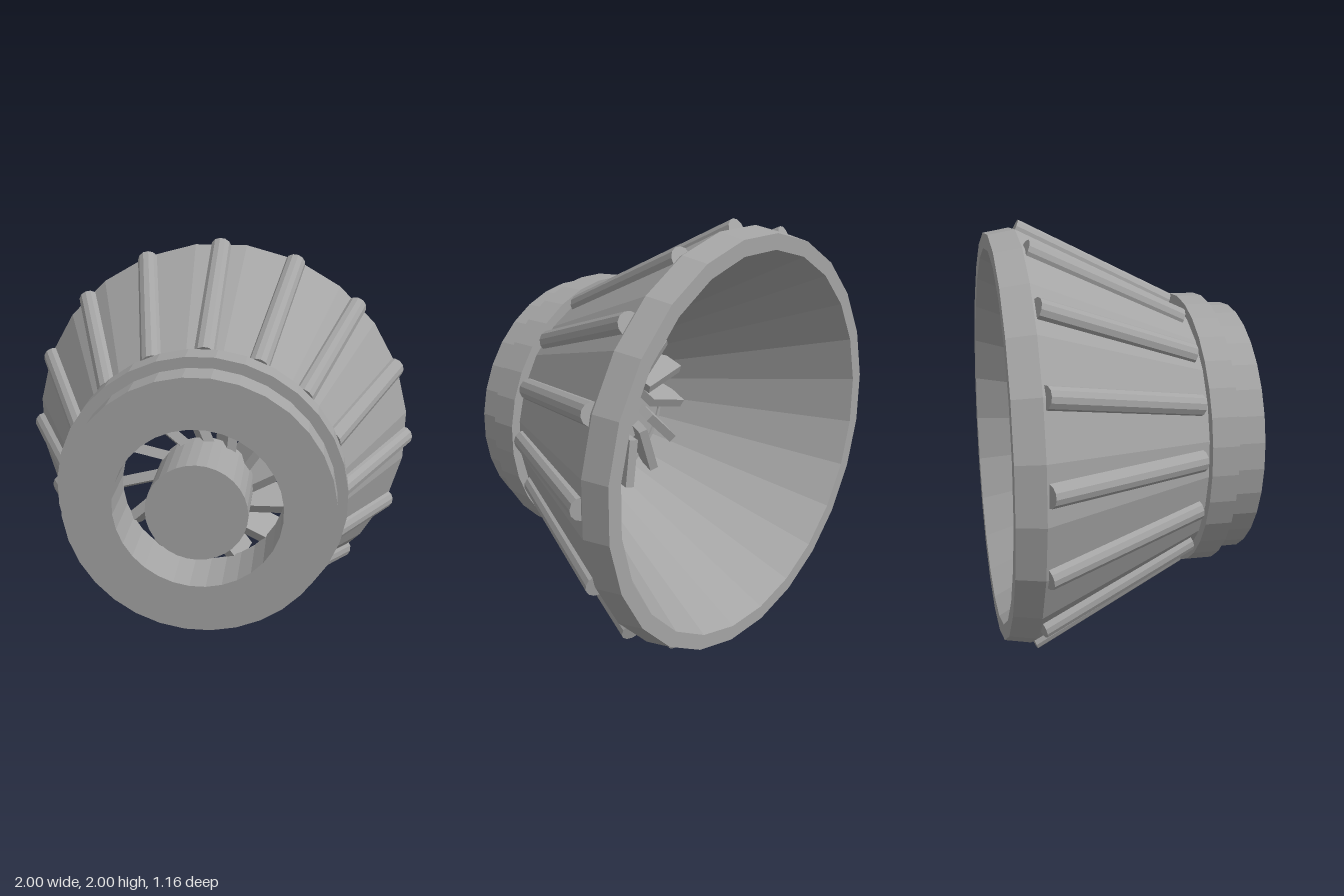
import * as THREE from 'three';

const grey = new THREE.MeshStandardMaterial({ color: 0xa4a4a4 });
grey.name = 'plain grey';

// Faceted mesh: every face gets its own normal
function part(name, geometry) {
  const flat = geometry.index ? geometry.toNonIndexed() : geometry;
  flat.computeVertexNormals();
  const mesh = new THREE.Mesh(flat, grey);
  mesh.name = name;
  return mesh;
}

// Turned part along z from [radius, z] points
function turned(name, points, sides) {
  const profile = points.map(([r, z]) => new THREE.Vector2(r, z));
  const geometry = new THREE.LatheGeometry(profile, sides, Math.PI / sides);
  return part(name, geometry.rotateX(Math.PI / 2).scale(1, 1, 1));
}

// Repeats a part evenly around the z axis
function ring(name, count, start, make) {
  const group = new THREE.Group();
  group.name = name;
  for (let i = 0; i < count; i++) {
    const spoke = new THREE.Group();
    spoke.add(make());
    spoke.rotation.z = start + (i * Math.PI * 2) / count;
    group.add(spoke);
  }
  return group;
}

export function createModel() {
  const model = new THREE.Group();
  const body = new THREE.Group();
  body.name = 'nozzle';
  body.position.y = 1;
  model.add(body);

  // Flared bell: bowl floor, inner wall, rim, outer wall
  body.add(turned('bell', [
    [0.1, 0.3], [0.39, 0.3], [0.875, -0.58], [0.945, -0.58], [0.968, -0.46], [0.6, 0.31],
  ], 24));

  // Front ring with its open bore and stepped collar
  body.add(turned('frontRing', [
    [0.375, 0.29], [0.6, 0.29], [0.6, 0.3], [0.65, 0.3], [0.65, 0.42],
    [0.602, 0.42], [0.602, 0.555], [0.375, 0.555], [0.375, 0.29],
  ], 32));

  // Central hub
  body.add(part('hub', new THREE.CylinderGeometry(0.224, 0.224, 0.33, 32)
    .rotateX(Math.PI / 2).translate(0, 0, 0.415)));

  // Sloping round ribs on the outside of the bell
  const front = new THREE.Vector3(0.608, 0, 0.262);
  const back = new THREE.Vector3(0.953, 0, -0.452);
  const direction = back.clone().sub(front);
  body.add(ring('ribs', 16, 0, () => {
    const rib = part('rib', new THREE.CylinderGeometry(0.05, 0.05, direction.length(), 12));
    rib.position.copy(front).add(back).multiplyScalar(0.5);
    rib.quaternion.setFromUnitVectors(new THREE.Vector3(0, 1, 0), direction.clone().normalize());
    return rib;
  }));

  // Twisted turbine blades, canted from the radius
  body.add(ring('blades', 13, Math.PI, () => {
    const blade = part('blade', new THREE.BoxGeometry(0.25, 0.045, 0.15).rotateX(0.42));
    blade.position.set(0.29, 0, 0.23);
    blade.rotation.z = 0.26;
    return blade;
  }));

  return model;
}
